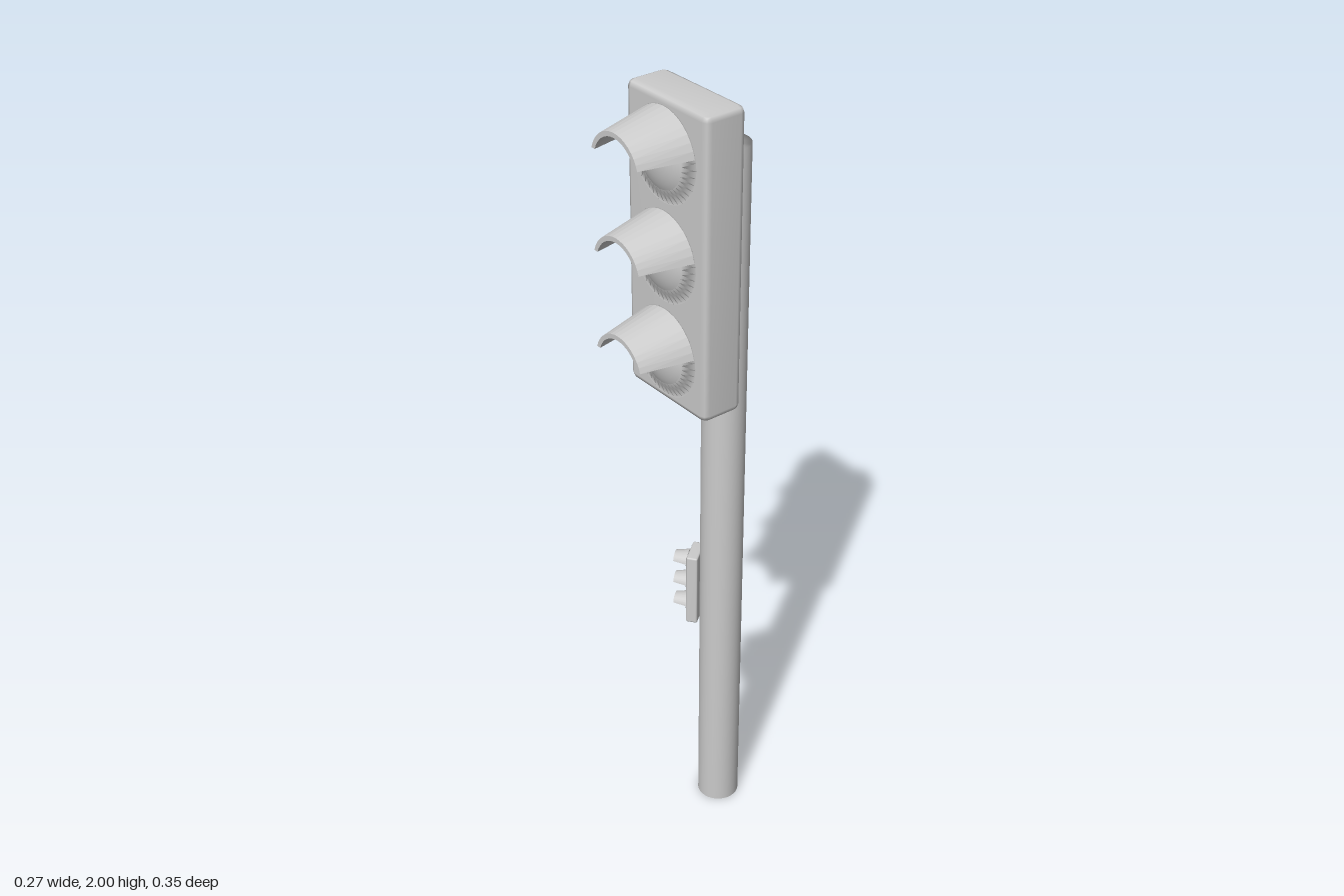
import * as THREE from 'three';
import { mergeVertices } from 'three/addons/utils/BufferGeometryUtils.js';
import { RoundedBoxGeometry } from 'three/addons/geometries/RoundedBoxGeometry.js';

const grey = new THREE.MeshStandardMaterial({ color: 0xcccccc });
const flatGrey = new THREE.MeshStandardMaterial({ color: 0xcccccc, flatShading: true });

function mesh(name, geometry, material = grey) {
  const m = new THREE.Mesh(geometry, material);
  m.name = name;
  return m;
}

// Weld all corners so the normals blend across every edge
function smooth(geometry) {
  geometry.deleteAttribute('normal');
  geometry.deleteAttribute('uv');
  const welded = mergeVertices(geometry);
  welded.computeVertexNormals();
  return welded;
}

// Tapered half-shell, cut level slightly above the lamp's centre
function hoodGeometry() {
  const steps = 16, cut = 0.024;
  // radius and depth of the section: outer back, outer front, inner front, inner back
  const section = [[0.108, 0.045], [0.082, 0.172], [0.071, 0.172], [0.096, 0.045]];
  const positions = [], index = [];
  for (let i = 0; i <= steps; i++) {
    for (const [r, z] of section) {
      const start = Math.asin(cut / r);
      const a = start + (Math.PI - 2 * start) * i / steps;
      positions.push(r * Math.cos(a), r * Math.sin(a), z);
    }
  }
  for (let i = 0; i < steps; i++) {
    for (let k = 0; k < 4; k++) {
      const a = i * 4 + k, b = i * 4 + (k + 1) % 4;
      index.push(a, a + 4, b, b, a + 4, b + 4);
    }
  }
  // close both cut ends
  const e = steps * 4;
  index.push(0, 1, 2, 0, 2, 3, e, e + 2, e + 1, e, e + 3, e + 2);
  const g = new THREE.BufferGeometry();
  g.setAttribute('position', new THREE.Float32BufferAttribute(positions, 3));
  g.setIndex(index);
  const faceted = g.toNonIndexed();
  faceted.computeVertexNormals();
  return faceted;
}

// Turned profile, pointing to +z
function turned(points, segments = 40) {
  return new THREE.LatheGeometry(points.map(([r, z]) => new THREE.Vector2(r, z)), segments)
    .rotateX(Math.PI / 2);
}

const hood = hoodGeometry();
const bezel = turned([[0, 0.044], [0.109, 0.044], [0.074, 0.055]]);
const lens = turned([[0.074, 0.055], [0.06, 0.062], [0.042, 0.067], [0.022, 0.071], [0, 0.072]]);
const box = smooth(new RoundedBoxGeometry(0.272, 0.725, 0.107, 1, 0.016));

// Signal head with three hooded lamps, centred on its housing height
function signalHead(name) {
  const head = new THREE.Group();
  head.name = name;
  const housing = mesh('housing', box);
  housing.position.z = -0.0135;
  head.add(housing);
  ['upper', 'middle', 'lower'].forEach((label, i) => {
    const lamp = new THREE.Group();
    lamp.name = label + 'Lamp';
    lamp.position.y = 0.2375 - 0.2355 * i;
    lamp.add(mesh('bezel', bezel), mesh('lens', lens), mesh('hood', hood, flatGrey));
    head.add(lamp);
  });
  return head;
}

export function createModel() {
  const model = new THREE.Group();
  model.name = 'trafficLight';

  // Pole
  const pole = mesh('pole', smooth(new THREE.CylinderGeometry(0.053, 0.053, 1.863, 32)));
  pole.position.set(0.009, 0.9315, -0.121);
  model.add(pole);

  // Main signal at the top
  const main = signalHead('mainSignal');
  main.position.set(-0.001, 1.6375, 0);
  model.add(main);

  // Small repeater turned outwards on the pole's right
  const repeater = signalHead('repeaterSignal');
  repeater.scale.setScalar(0.275);
  repeater.position.set(-0.047, 0.674, -0.079);
  repeater.rotation.y = -0.927;
  model.add(repeater);

  return model;
}
